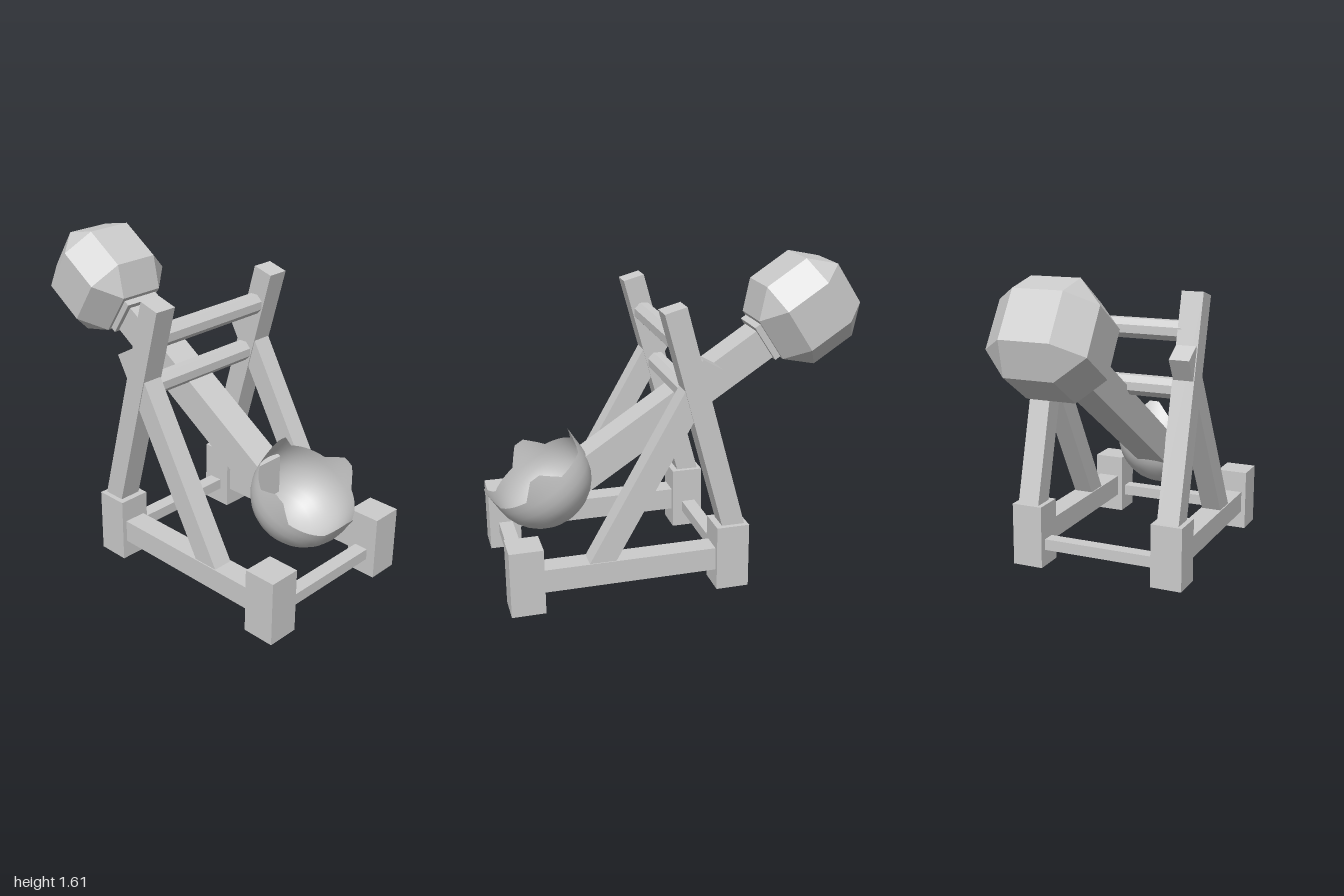
import * as THREE from 'three';
import { ConvexGeometry } from 'three/addons/geometries/ConvexGeometry.js';

const TILT = THREE.MathUtils.degToRad(33);
const flat = new THREE.MeshStandardMaterial({ color: 0xcccccc, flatShading: true });
const smooth = new THREE.MeshStandardMaterial({ color: 0xcccccc, side: THREE.DoubleSide });

export function createModel() {
  const root = new THREE.Group();
  root.name = 'catapult';

  const add = (name, geometry, x, y, z, rotX = 0, material = flat) => {
    const mesh = new THREE.Mesh(geometry, material);
    mesh.name = name;
    mesh.position.set(x, y, z);
    mesh.rotation.x = rotX;
    root.add(mesh);
    return mesh;
  };
  // Leaning timber, placed by the centre of its top end
  const timber = (name, width, depth, length, x, topY, topZ, angle) => {
    const geometry = new THREE.BoxGeometry(width, length, depth).translate(0, -length / 2, 0);
    return add(name, geometry, x, topY, topZ, angle);
  };

  // Base: corner posts, side rails, and the uprights with their braces
  for (const [side, s] of [['left', 1], ['right', -1]]) {
    add(side + 'FrontPost', new THREE.BoxGeometry(0.17, 0.34, 0.17), s * 0.398, 0.17, 0.87);
    add(side + 'BackPost', new THREE.BoxGeometry(0.17, 0.34, 0.17), s * 0.398, 0.17, -0.18);
    add(side + 'Rail', new THREE.BoxGeometry(0.12, 0.12, 0.94), s * 0.398, 0.16, 0.345);
    timber(side + 'Upright', 0.118, 0.114, 1.22, s * 0.398, 1.468, 0.115, Math.PI / 12);
    timber(side + 'Brace', 0.108, 0.117, 1.18, s * 0.398, 1.19, -0.0725, -Math.PI / 6);
  }

  // Low cross bars between the posts
  add('frontCrossBar', new THREE.BoxGeometry(0.68, 0.06, 0.075), 0, 0.12, 0.868);
  add('backCrossBar', new THREE.BoxGeometry(0.68, 0.06, 0.075), 0, 0.12, -0.187);

  // Eight-sided bars between the uprights
  const bar = new THREE.CylinderGeometry(0.056, 0.056, 0.72, 8, 1, false, Math.PI / 8).rotateZ(Math.PI / 2);
  add('stopBar', bar, 0, 1.278, 0.061);
  add('pivotBar', bar, 0, 0.994, -0.013);

  // Throwing arm, drawn as a side profile (z, y)
  const profile = new THREE.Shape([
    [0.5, 0.425], [0.5, 0.631], [-0.55, 1.313], [-0.65, 1.169],
  ].map(([z, y]) => new THREE.Vector2(z, y)));
  const arm = new THREE.ExtrudeGeometry(profile, { depth: 0.17, bevelEnabled: false });
  arm.translate(0, 0, -0.085).rotateY(-Math.PI / 2);
  add('throwingArm', arm, -0.01, 0, 0);

  // Counterweight: a cube with chamfered edges and corners
  const big = 0.254, small = 0.126, corners = [];
  for (const sx of [-1, 1]) for (const sy of [-1, 1]) for (const sz of [-1, 1]) {
    for (let axis = 0; axis < 3; axis++) {
      const size = [small, small, small];
      size[axis] = big;
      corners.push(new THREE.Vector3(sx * size[0], sy * size[1], sz * size[2]));
    }
  }
  add('counterweight', new ConvexGeometry(corners), -0.012, 1.331, -0.714, TILT);
  add('counterweightCollar', new THREE.BoxGeometry(0.22, 0.215, 0.035), -0.012, 1.18, -0.49, TILT);

  // Bowl: a hemisphere with a short wall that rises to four blunt points
  const radius = 0.265, rings = 8, points = [];
  for (let i = 0; i <= rings; i++) {
    const a = (i / rings) * Math.PI / 2;
    points.push(new THREE.Vector2(radius * Math.sin(a), -radius * Math.cos(a)));
  }
  points.push(new THREE.Vector2(radius, 0.04));
  const bowl = new THREE.LatheGeometry(points, 60);
  const pos = bowl.attributes.position;
  for (let i = 0; i < pos.count; i++) {
    if (pos.getY(i) < 0.03) continue;
    const degrees = THREE.MathUtils.radToDeg(Math.atan2(pos.getX(i), pos.getZ(i)));
    const fromPoint = Math.abs(degrees - 90 * Math.round(degrees / 90));
    pos.setY(i, THREE.MathUtils.mapLinear(THREE.MathUtils.clamp(fromPoint, 6, 24), 6, 24, 0.125, 0.038));
  }
  add('bowl', bowl, 0.01, 0.525, 0.715, TILT, smooth);

  return root;
}
